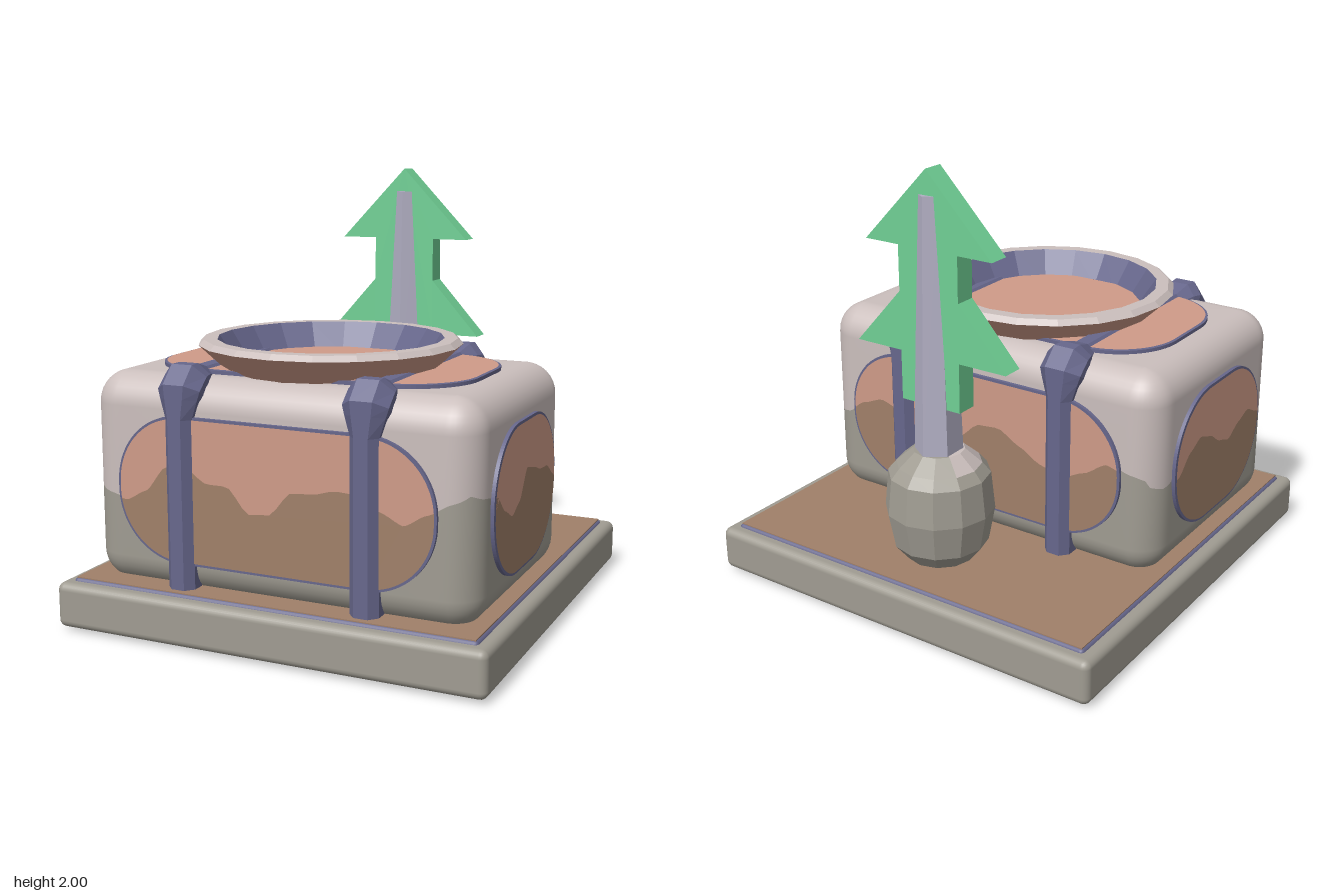
import * as THREE from 'three';
import { RoundedBoxGeometry } from 'three/addons/geometries/RoundedBoxGeometry.js';

const mat = (name, color) => {
  const m = new THREE.MeshStandardMaterial({ color });
  m.name = name;
  return m;
};

// Body: half sizes, vertical extent, centre depth and corner radius
const HX = 0.9, HZ = 0.58, Y0 = 0.2, Y1 = 1.15, CZ = 0.27, R = 0.14;

// Heights of the wavy colour line on the front, right, back and left faces
const WAVES = [
  [.64, .62, .6, .65, .765, .77, .71, .71, .6, .61, .715, .72, .745, .74, .68, .635, .69, .74, .785],
  [.785, .75, .735, .655, .61, .65, .775, .755, .725, .72, .66, .58, .59],
  [.59, .62, .7, .74, .71, .63, .6, .66, .75, .76, .7, .64, .61, .66, .73, .7, .66],
  [.66, .63, .65, .73, .77, .74, .68, .65, .7, .73, .69, .63, .64],
];
const halfOf = (k) => (k % 2 ? HZ : HX);
function waveAt(k, u) {
  const a = WAVES[k], h = halfOf(k);
  const t = THREE.MathUtils.clamp((u + h) / (2 * h), 0, 1) * (a.length - 1);
  const i = Math.min(Math.floor(t), a.length - 2);
  return THREE.MathUtils.lerp(a[i], a[i + 1], THREE.MathUtils.smoothstep(t - i, 0, 1) * 0.5 + (t - i) * 0.5);
}

export function createModel() {
  const model = new THREE.Group();
  const stone = mat('grey stone', 0xa09c92);
  const pale = mat('pale stone', 0xcbbfbd);
  const pink = mat('pink clay', 0xcf9b88);
  const brown = mat('brown clay', 0xa08069);
  const purple = mat('purple metal', 0x67678c);
  const lilac = mat('lilac trunk', 0xb2afc4);
  const green = mat('leaf green', 0x70d095);

  const add = (name, geo, material, parent = model) => {
    const m = new THREE.Mesh(geo, material);
    m.name = name;
    parent.add(m);
    return m;
  };
  const flat = (geo) => {
    const g = geo.index ? geo.toNonIndexed() : geo;
    g.computeVertexNormals();
    return g;
  };
  // Joins rings of points into a skin; closed rings wrap around
  const skin = (rings, closed, cap) => {
    const n = rings[0].length, pos = rings.flat(2), idx = [];
    for (let j = 0; j < rings.length - 1; j++)
      for (let i = 0; i < (closed ? n : n - 1); i++) {
        const a = j * n + i, b = j * n + (i + 1) % n;
        idx.push(a, b, b + n, a, b + n, a + n);
      }
    if (cap !== undefined) {
      const c = pos.length / 3, top = cap > 0.5;
      const s = top ? (rings.length - 1) * n : 0;
      pos.push(0, cap, CZ);
      for (let i = 0; i < n; i++) {
        const a = s + i, b = s + (i + 1) % n;
        if (top) idx.push(a, b, c); else idx.push(b, a, c);
      }
    }
    const g = new THREE.BufferGeometry();
    g.setAttribute('position', new THREE.Float32BufferAttribute(pos, 3));
    g.setIndex(idx);
    g.computeVertexNormals();
    return g;
  };

  // Base slab with a rimmed plate above and below
  add('baseSlab', new RoundedBoxGeometry(2, 0.205, 2, 3, 0.035), stone).position.y = 0.1175;
  add('basePlateRim', new RoundedBoxGeometry(1.89, 0.23, 1.89, 2, 0.02), purple).position.y = 0.119;
  add('basePlateTop', new THREE.BoxGeometry(1.865, 0.008, 1.865), brown).position.y = 0.233;
  add('basePlateBottom', new THREE.BoxGeometry(1.865, 0.008, 1.865), brown).position.y = 0.004;

  // Rounded body, split in two colours along the wavy line
  const outline = [];
  for (let k = 0; k < 4; k++) {
    const hu = halfOf(k), hn = halfOf(k + 1), steps = 44;
    const push = (u, a) => outline.push({ k, u, n: hn - R, a });
    for (let i = 0; i < 5; i++) push(-(hu - R), -Math.PI / 4 + i * Math.PI / 20);
    for (let i = 0; i <= steps; i++) push((hu - R) * (2 * i / steps - 1), 0);
    for (let i = 1; i < 5; i++) push(hu - R, i * Math.PI / 20);
  }
  const ring = (r, height) => outline.map(({ k, u, n, a }) => {
    const t = k * Math.PI / 2, lu = u + r * Math.sin(a), ln = n + r * Math.cos(a);
    return [lu * Math.cos(t) + ln * Math.sin(t), height(k, u + R * Math.sin(a)),
      CZ - lu * Math.sin(t) + ln * Math.cos(t)];
  });
  const lower = [], upper = [ring(R, waveAt)];
  for (let i = 0; i <= 8; i++) {
    const a = i * Math.PI / 16;
    lower.push(ring(R * Math.sin(a), () => Y0 + R * (1 - Math.cos(a))));
    upper.push(ring(R * Math.cos(a), () => Y1 - R * (1 - Math.sin(a))));
  }
  lower.push(ring(R, waveAt));
  add('bodyLower', skin(lower, true, Y0), stone);
  add('bodyUpper', skin(upper, true, Y1), pale);

  // Rounded panel: dark rim slab with a thin face, optionally split by the wave
  const PY = 0.665;
  const panel = (name, hw, hh, wave) => {
    const g = new THREE.Group();
    g.name = name;
    const r = 0.31, N = 72;
    const half = (u, w, h, q) => {
      const d = Math.max(0, Math.abs(u) - (w - q));
      return h - q + Math.sqrt(Math.max(0, q * q - d * d));
    };
    const strip = (w, top, bottom) => {
      const pts = [];
      for (let i = 0; i <= N; i++) {
        const u = -w * Math.cos(i * Math.PI / N);
        pts.push([u, bottom(u), top(u)]);
      }
      return new THREE.Shape([
        ...pts.map(([u, b]) => new THREE.Vector2(u, b)),
        ...pts.reverse().map(([u, , t]) => new THREE.Vector2(u, t)),
      ]);
    };
    const edge = (u) => half(u, hw, hh, r);
    add('panelRim', new THREE.ExtrudeGeometry(strip(hw, edge, (u) => -edge(u)),
      { depth: 0.036, bevelEnabled: false }), purple, g).position.z = -0.02;
    const w = hw - 0.011;
    const inner = (u) => half(u, w, hh - 0.011, r - 0.011);
    const mid = (u) => wave ? THREE.MathUtils.clamp(wave(u), -inner(u), inner(u)) : -inner(u);
    const face = (nm, top, bottom, m) =>
      add(nm, new THREE.ShapeGeometry(strip(w, top, bottom)), m, g).position.z = 0.019;
    face('panelFaceUpper', inner, mid, pink);
    if (wave) face('panelFaceLower', mid, (u) => -inner(u), brown);
    model.add(g);
    return g;
  };
  ['frontPanel', 'leftPanel', 'backPanel', 'rightPanel'].forEach((name, k) => {
    const t = k * Math.PI / 2, d = halfOf(k + 1);
    const p = panel(name, k % 2 ? 0.42 : 0.74, 0.325, (u) => waveAt(k, u) - PY);
    p.rotation.y = t;
    p.position.set(d * Math.sin(t), PY, CZ + d * Math.cos(t));
  });
  const topPanel = panel('topPanel', 0.74, 0.425);
  topPanel.rotation.x = -Math.PI / 2;
  topPanel.position.set(0, Y1, CZ);

  // Straps over the body: [outer depth, outer y, inner depth, inner y, half width]
  const path = [
    [.635, .2, .54, .2, .065], [.635, .98, .54, .98, .065], [.635, 1.07, .53, 1.05, .09],
    [.635, 1.13, .52, 1.06, .102], [.56, 1.207, .48, 1.08, .102],
    [.5, 1.207, .45, 1.09, .09], [.41, 1.18, .4, 1.1, .062],
  ];
  const stations = [...path, ...path.slice().reverse().map(([a, b, c, d, w]) => [-a, b, -c, d, w])];
  for (const side of [-1, 1]) {
    const rings = stations.map(([oz, oy, iz, iy, w]) => {
      const at = (x, t) => [side * 0.43 + x,
        THREE.MathUtils.lerp(iy, oy, t), CZ + THREE.MathUtils.lerp(iz, oz, t)];
      return [at(-w, 0), at(-w, 0.6), at(-w * 0.48, 1), at(w * 0.48, 1), at(w, 0.6), at(w, 0)];
    });
    add(side > 0 ? 'leftStrap' : 'rightStrap', flat(skin(rings, false)), purple);
  }

  // Faceted bowl ring on top
  const lathe = (pts, sides, start = 0, sweep = Math.PI * 2) => flat(new THREE.LatheGeometry(
    pts.map(([x, y]) => new THREE.Vector2(x, y)), sides, start, sweep));
  const bowl = new THREE.Group();
  bowl.name = 'bowlRing';
  bowl.position.z = CZ;
  model.add(bowl);
  add('bowlOutside', lathe([[.455, 1.13], [.588, 1.257]], 20), pink, bowl);
  add('bowlLip', lathe([[.588, 1.257], [.563, 1.28], [.505, 1.28]], 20), pale, bowl);
  add('bowlInside', lathe([[.505, 1.28], [.41, 1.14]], 20), purple, bowl);

  // Tree: pot, trunk and flat foliage
  const tree = new THREE.Group();
  tree.name = 'tree';
  tree.position.z = -0.62;
  model.add(tree);
  add('pot', lathe([[0, .225], [.15, .23], [.215, .31], [.245, .47], [.228, .64], [.19, .685]], 12), stone, tree);
  const shoulder = [[.19, .685], [.115, .75], [0, .75]];
  add('potShoulderPale', lathe(shoulder, 6, -Math.PI * 2 / 3, Math.PI), pale, tree);
  add('potShoulderGrey', lathe(shoulder, 6, Math.PI / 3, Math.PI), stone, tree);
  const trunk = add('trunk', flat(new THREE.CylinderGeometry(0.075, 0.115, 1.15, 6)), lilac, tree);
  trunk.position.y = 1.315;
  trunk.scale.x = 0.9;
  const right = [[.325, 1.66], [.153, 1.66], [.153, 1.455], [.39, 1.19], [.153, 1.19], [.153, .965]];
  const leafShape = new THREE.Shape([[0, 2], ...right, ...right.slice().reverse().map(([x, y]) => [-x, y])]
    .map(([x, y]) => new THREE.Vector2(x, y)));
  add('foliage', new THREE.ExtrudeGeometry(leafShape, { depth: 0.1, bevelEnabled: false }), green, tree)
    .position.z = -0.05;

  return model;
}
